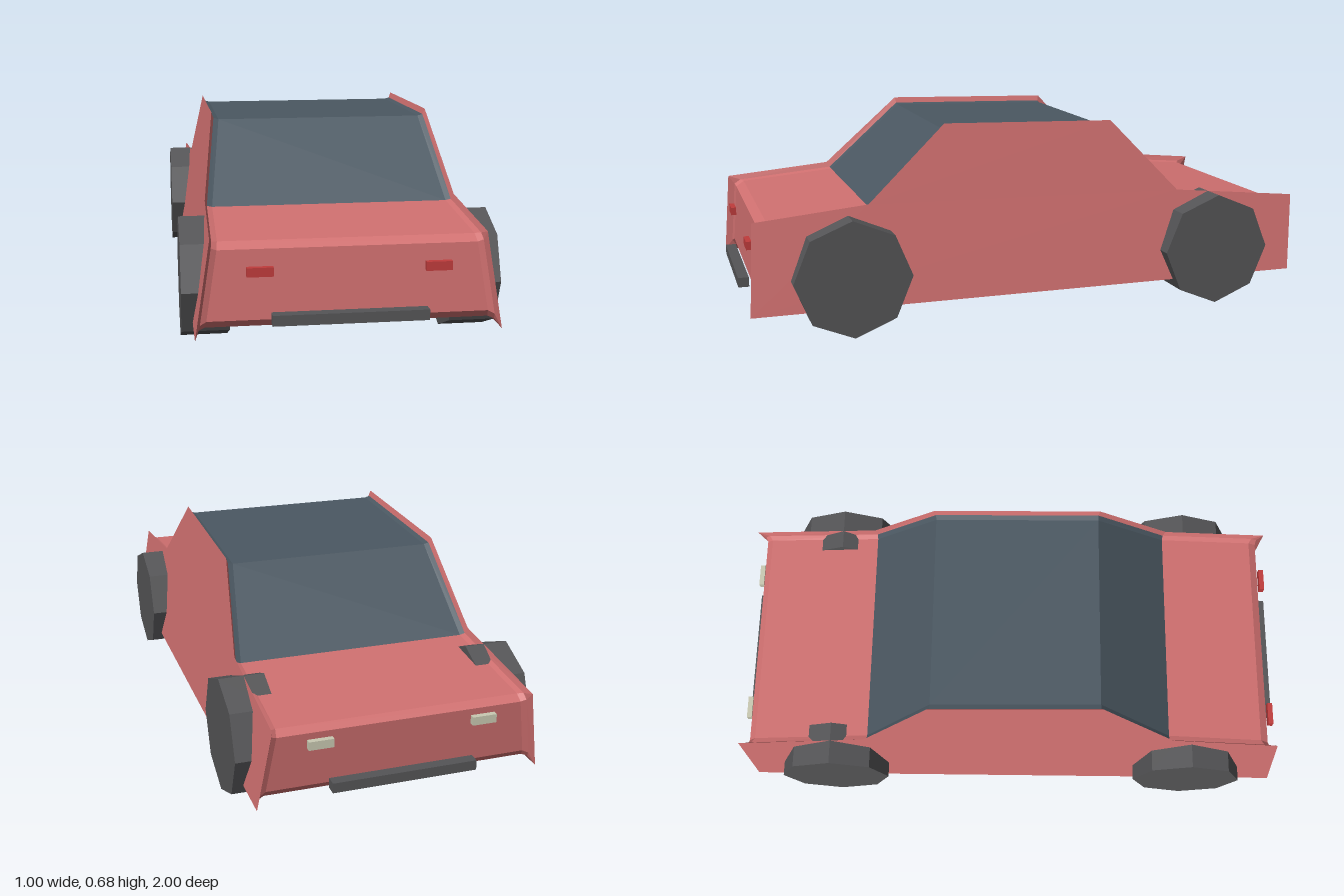
import * as THREE from 'three';

const material = (color) => new THREE.MeshStandardMaterial({ color, flatShading: true });
const red = material(0xd07070);
const glass = material(0x4b5862);
const dark = material(0x555557);
const lampRed = material(0xc03c3c);
const lampCream = material(0xc9c9b2);

// Side profiles as [z, y], front bottom over the roof to the back.
const outer = [
  [0.985, 0.09], [0.985, 0.09], [0.965, 0.39], [0.965, 0.39], [0.585, 0.425], [0.315, 0.675],
  [-0.285, 0.66], [-0.53, 0.405], [-0.99, 0.36], [-0.99, 0.36], [-0.965, 0.09], [-0.965, 0.09],
];
const inner = [
  [0.935, 0.115], [0.952, 0.138], [0.938, 0.352], [0.91, 0.372], [0.572, 0.402], [0.31, 0.65],
  [-0.278, 0.636], [-0.52, 0.377], [-0.935, 0.341], [-0.957, 0.322], [-0.938, 0.135], [-0.925, 0.115],
];
const GLASS_FIRST = 4, GLASS_LAST = 6;

// One cross-section: the profile blended inwards, on the leaning side plane.
function ring(side, blend, depth) {
  return outer.map(([z, y], i) => {
    const pz = THREE.MathUtils.lerp(z, inner[i][0], blend);
    const py = THREE.MathUtils.lerp(y, inner[i][1], blend);
    return [side * (0.465 - 0.159 * (py - 0.09) - depth), py, pz];
  });
}

function meshOf(name, points, mat) {
  const geometry = new THREE.BufferGeometry();
  geometry.setAttribute('position', new THREE.Float32BufferAttribute(points.flat(), 3));
  geometry.computeVertexNormals();
  const mesh = new THREE.Mesh(geometry, mat);
  mesh.name = name;
  return mesh;
}

function buildShell() {
  const shell = new THREE.Group();
  shell.name = 'bodyShell';
  const rings = [
    ring(1, 0, 0), ring(1, 0.8, 0.01), ring(1, 1, 0.028),
    ring(-1, 1, 0.028), ring(-1, 0.8, 0.01), ring(-1, 0, 0),
  ];
  const bodyPoints = [], glassPoints = [];
  const n = outer.length;
  for (let r = 0; r < rings.length - 1; r++) {
    const a = rings[r], b = rings[r + 1];
    const flange = r === 0 || r === rings.length - 2;
    for (let i = 0; i < n; i++) {
      const j = (i + 1) % n;
      const isGlass = !flange && i >= GLASS_FIRST && i <= GLASS_LAST;
      (isGlass ? glassPoints : bodyPoints).push(a[i], a[j], b[j], a[i], b[j], b[i]);
    }
  }
  // Flat side panels: lower body and cabin, each as a fan.
  for (const fan of [[0, 2, 4, 7, 8, 10], [4, 5, 6, 7]]) {
    for (let k = 1; k < fan.length - 1; k++) {
      const [p, q, s] = [fan[0], fan[k], fan[k + 1]];
      bodyPoints.push(rings[0][p], rings[0][s], rings[0][q]);
      bodyPoints.push(rings[5][p], rings[5][q], rings[5][s]);
    }
  }
  shell.add(meshOf('body', bodyPoints, red), meshOf('windowsAndRoof', glassPoints, glass));
  return shell;
}

function box(name, size, position, mat) {
  const mesh = new THREE.Mesh(new THREE.BoxGeometry(...size), mat);
  mesh.name = name;
  mesh.position.set(...position);
  return mesh;
}

export function createModel() {
  const car = new THREE.Group();
  car.name = 'car';
  car.add(buildShell());

  // Eight-sided wheels with a corner at the bottom
  const wheelGeometry = new THREE.CylinderGeometry(0.1965, 0.1965, 0.15, 8).rotateZ(Math.PI / 2);
  for (const side of [1, -1]) {
    for (const [name, z] of [['frontWheel', 0.655], ['backWheel', -0.652]]) {
      const wheel = new THREE.Mesh(wheelGeometry, dark);
      wheel.name = (side > 0 ? 'left ' : 'right ') + name;
      wheel.position.set(side * 0.425, 0.1965, z);
      car.add(wheel);
    }
    // Lamps
    car.add(box('frontLamp', [0.08, 0.028, 0.018], [side * 0.27, 0.29, 0.966], lampRed));
    car.add(box('backLamp', [0.08, 0.028, 0.018], [side * 0.267, 0.29, -0.972], lampCream));
  }

  // Bumpers
  car.add(box('frontBumper', [0.474, 0.033, 0.036], [0, 0.147, 0.982], dark));
  car.add(box('backBumper', [0.474, 0.033, 0.036], [0, 0.147, -0.982], dark));
  return car;
}
